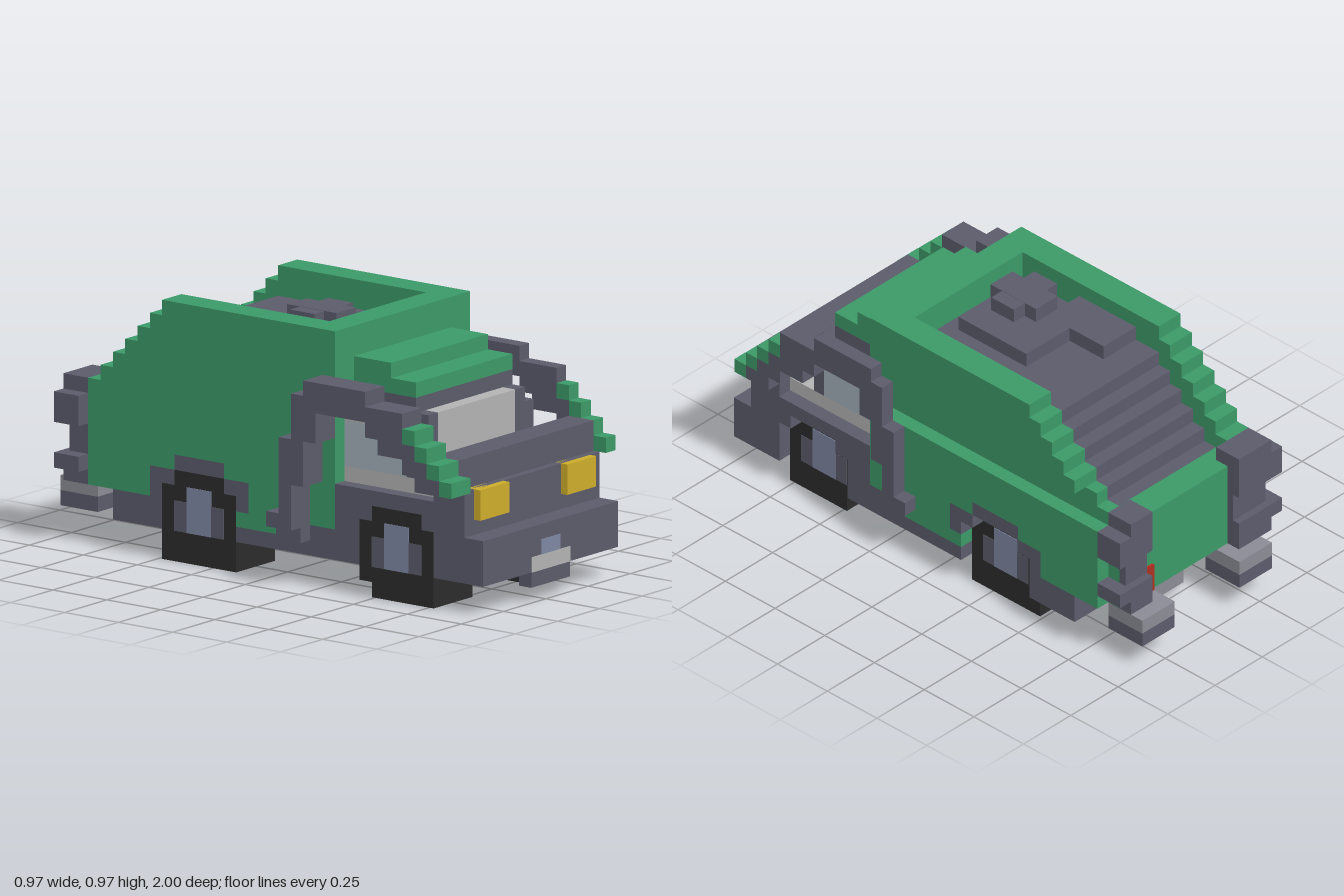
import * as THREE from 'three';

const U = 2 / 35; // size of one block
const mats = {};
for (const [k, c] of Object.entries({
  green: 0x3c9a68, dark: 0x5c5c6c, light: 0xb4b4b4, glass: 0xa3b1ba,
  yellow: 0xcfae2b, tyre: 0x2c2c2c, hub: 0x7f88a3, red: 0xb03020, steel: 0x8c8c96,
})) mats[k] = new THREE.MeshStandardMaterial({ color: c, flatShading: true });

// Box given by block ranges: x from the right edge, y from the ground, z from the back
function block(parent, name, color, [x0, x1], [y0, y1], [z0, z1]) {
  const m = new THREE.Mesh(new THREE.BoxGeometry((x1 - x0) * U, (y1 - y0) * U, (z1 - z0) * U), mats[color]);
  m.position.set(((x0 + x1) / 2 - 8.5) * U, ((y0 + y1) / 2) * U, ((z0 + z1) / 2 - 17.5) * U);
  m.name = name;
  parent.add(m);
}

export function createModel() {
  const root = new THREE.Group();
  const group = (name) => {
    const g = new THREE.Group();
    g.name = name;
    root.add(g);
    return g;
  };

  // Chassis and bumpers
  const chassis = group('chassis');
  block(chassis, 'chassisCore', 'dark', [3, 14], [2, 4], [5, 33]);
  block(chassis, 'frontBumper', 'dark', [2, 16], [2, 5], [33, 35]);
  block(chassis, 'frontPlate', 'light', [7, 11], [2, 3], [34, 35.05]);
  block(chassis, 'frontPlateHolder', 'dark', [7, 11], [1, 2], [34, 35]);
  block(chassis, 'frontBadgePanel', 'hub', [8, 10], [3, 4], [34, 35.03]);
  block(chassis, 'rearPlate', 'steel', [7, 11], [1, 4], [4, 5]);
  for (const x of [3, 12]) {
    block(chassis, 'rearBumper', 'steel', [x, x + 3], [3, 4], [0, 3]);
    block(chassis, 'rearBumper', 'dark', [x, x + 3], [2, 3], [0, 3]);
  }

  // Side panels with cut-outs for the wheels: [colour, y0, y1, z0, z1]
  const rows = [
    ['dark', 2, 3, 5, 9], ['dark', 2, 3, 15, 25], ['dark', 2, 5, 31, 33],
    ['dark', 3, 4, 5, 9], ['green', 3, 4, 15, 20], ['dark', 3, 4, 20, 25],
    ['green', 4, 6, 3, 8], ['dark', 4, 5, 8, 9], ['dark', 4, 5, 15, 16], ['green', 4, 5, 16, 23],
    ['dark', 4, 5, 23, 25], ['dark', 5, 6, 8, 10], ['dark', 5, 6, 14, 16], ['green', 5, 6, 16, 23],
    ['dark', 5, 6, 23, 26], ['dark', 5, 6, 30, 33], ['green', 6, 7, 3, 10], ['dark', 6, 7, 10, 14],
    ['green', 6, 7, 14, 23], ['dark', 6, 7, 23, 33], ['green', 7, 10, 3, 23],
  ];
  const panels = group('sidePanels');
  for (const xr of [[2, 3], [14, 16]])
    for (const [c, y0, y1, z0, z1] of rows) block(panels, 'sidePanel', c, xr, [y0, y1], [z0, z1]);

  // Wheels
  for (const [x0, x1, h0, h1] of [[2, 6, 1.95, 3], [11, 15, 14, 15.05]])
    for (const z of [9, 25]) {
      const w = group('wheel');
      block(w, 'tyre', 'tyre', [x0, x1], [1, 5], [z, z + 6]);
      block(w, 'tyreTop', 'tyre', [x0, x1], [5, 6], [z + 1, z + 5]);
      block(w, 'tyreTread', 'tyre', [x0, x1], [0, 1], z === 9 ? [z, z + 6] : [z + 1, z + 6]);
      block(w, 'hubUpright', 'hub', [h0, h1], [2, 5], [z + 2, z + 4]);
      block(w, 'hubCross', 'dark', [h0 + 0.02, h1 - 0.02], [2, 4], [z + 1, z + 5]);
    }

  // Cab
  const cab = group('cab');
  block(cab, 'cabBase', 'dark', [3, 14], [4, 7], [23, 33]);
  block(cab, 'nose', 'dark', [2, 16], [7, 8], [31, 33]);
  block(cab, 'hoodBar', 'dark', [2, 16], [8, 10], [31, 33]);
  block(cab, 'dashboard', 'light', [3, 15], [7, 8], [23, 31]);
  block(cab, 'grille', 'dark', [2, 16], [5, 8], [33, 33.5]);
  for (const x of [3, 12]) block(cab, 'headlight', 'yellow', [x, x + 3], [6, 8], [33, 34]);
  block(cab, 'cabCore', 'dark', [4, 14], [8, 13], [23, 28]);
  block(cab, 'windshield', 'light', [5, 13], [9, 12], [28, 29]);
  block(cab, 'windshieldBase', 'glass', [5, 13], [8, 9], [28, 30]);
  for (const x of [3, 14]) {
    block(cab, 'sideWindow', 'glass', [x, x + 1], [8, 11], [23, 28]);
    block(cab, 'sideWindowTop', 'light', [x, x + 1], [11, 12], [23, 26]);
    block(cab, 'windshieldPost', 'dark', [x, x + 1], [8, 11], [28, 28.9]);
    block(cab, 'windshieldPost', 'dark', x === 3 ? [4, 5] : [13, 14], [8, 12], [28, 29]);
  }
  block(cab, 'roofFront', 'green', [4, 14], [13, 14], [23, 28]);
  block(cab, 'roofTop', 'green', [4, 14], [14, 15], [23, 26]);

  // Cargo body
  const cargo = group('cargoBody');
  block(cargo, 'cargoFill', 'green', [3, 14], [4, 10], [3, 23]);
  block(cargo, 'cargoFrontWall', 'green', [4, 14], [10, 17], [21, 23]);
  block(cargo, 'cargoFloor', 'dark', [4, 14], [10, 15], [9, 21]);
  block(cargo, 'tailgate', 'green', [3, 15], [4, 10], [2, 3]);
  const wall = (z0, z1, top) => {
    block(cargo, 'rightWall', 'green', [2, 4], [10, top], [z0, z1]);
    block(cargo, 'leftWallRecess', 'green', [14, 15], [10, Math.min(12, top)], [z0, z1]);
    if (top > 12) block(cargo, 'leftWall', 'green', [14, 16], [12, top], [z0, z1]);
  };
  wall(9, 23, 17);
  for (let z = 3; z < 9; z++) {
    wall(z, z + 1, z + 8);
    if (z > 3) block(cargo, 'rearSlopeStep', 'dark', [4, 14], [9, z + 6.02], [z, z + 1]);
  }

  // Load lying on the cargo floor
  const load = group('load');
  block(load, 'loadSlab', 'dark', [4, 7], [15, 16], [11, 16]);
  block(load, 'loadSlab', 'dark', [7, 11], [15, 16], [14, 20]);
  block(load, 'loadBase', 'dark', [5, 9], [15, 15.98], [16, 20]);
  block(load, 'loadCross', 'dark', [6, 8], [16, 17], [16, 20]);
  block(load, 'loadCross', 'dark', [5, 9], [16, 16.98], [17, 19]);

  // Curved side guards, stepping down to a green front tip: [colour, y0, y1, z0, z1]
  const guard = [
    ['dark', 4, 5, 19, 21], ['dark', 5, 7, 20, 21], ['dark', 7, 10, 20, 22], ['dark', 10, 12, 21, 23],
    ['dark', 12, 13, 21, 30], ['dark', 13, 14, 22, 27], ['dark', 11, 12, 27, 30], ['green', 11, 12, 30, 31],
    ['dark', 10, 11, 28, 31], ['green', 10, 11, 31, 32], ['dark', 9, 10, 30, 32], ['green', 9, 10, 32, 33],
    ['dark', 8, 9, 31, 33], ['green', 8, 9, 33, 34],
  ];
  for (const [name, xr] of [['rightGuard', [0, 2]], ['leftGuard', [16, 17]]]) {
    const g = group(name);
    for (const [c, y0, y1, z0, z1] of guard) block(g, 'guardStep', c, xr, [y0, y1], [z0, z1]);
  }
  block(root, 'guardFoot', 'dark', [1, 2], [3, 4], [19, 21]);

  // Rear corner posts, notched at the back
  const posts = group('rearPosts');
  for (const [x0, x1] of [[2, 5], [13, 15]]) {
    block(posts, 'postTop', 'dark', [x0, x1], [8, 11], [1, 3]);
    block(posts, 'postMiddle', 'dark', [x0, x1], [6, 8], [1.5, 3]);
    block(posts, 'postBottom', 'dark', [x0, x1], [4, 6], [1, 3]);
  }
  for (const x of [1, 15]) {
    block(posts, 'postEdgeTop', 'dark', [x, x + 1], [8, 10], [1, 3]);
    block(posts, 'postEdgeBottom', 'dark', [x, x + 1], [5, 6], [1, 3]);
  }
  block(posts, 'tailLight', 'red', [12, 13], [4, 6], [1.8, 2]);

  return root;
}
